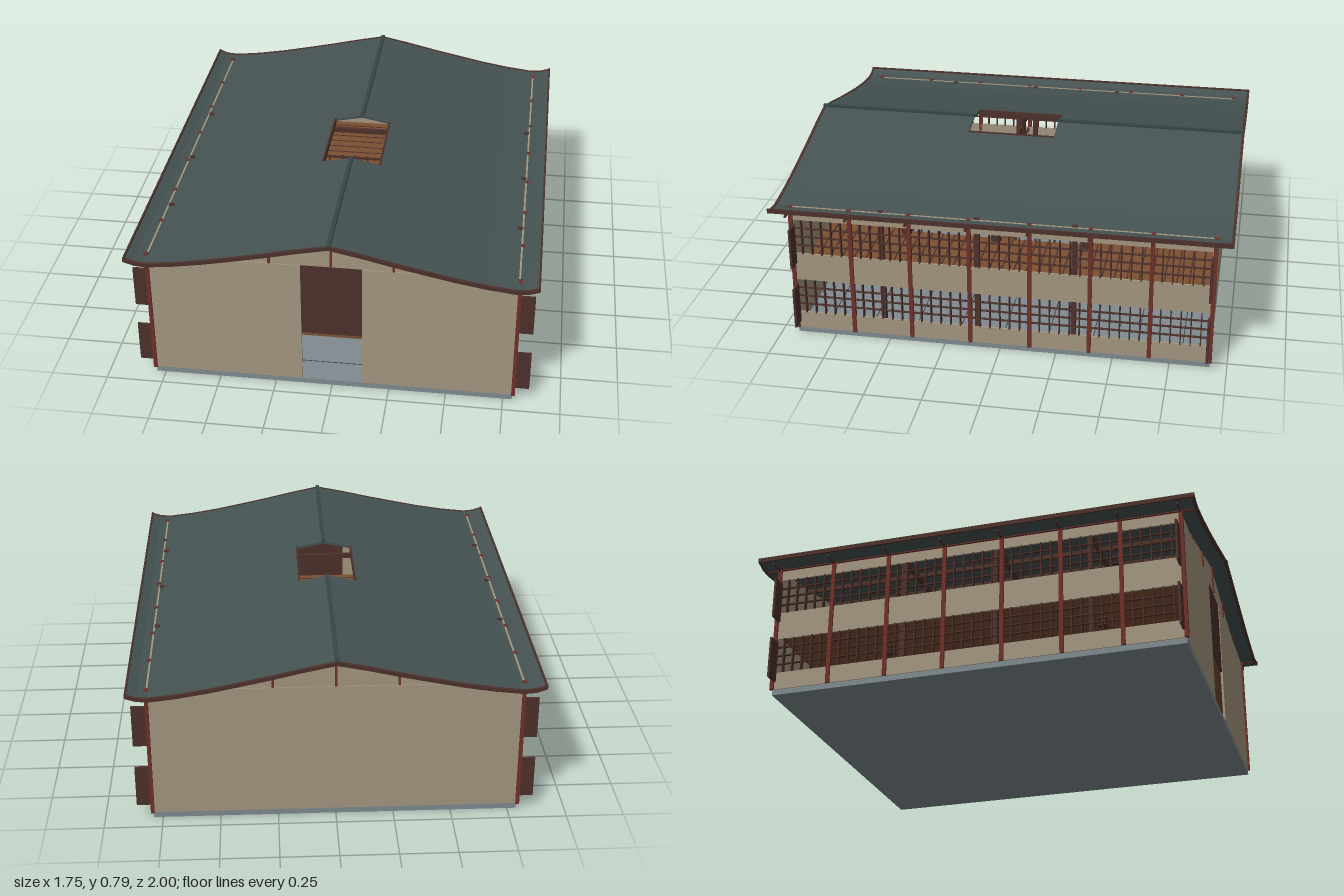
import * as THREE from 'three';
import { mergeGeometries } from 'three/addons/utils/BufferGeometryUtils.js';

const mat = (name, color, side = THREE.FrontSide) => {
  const m = new THREE.MeshStandardMaterial({ color, side });
  m.name = name;
  return m;
};

export function createModel() {
  const model = new THREE.Group();
  model.name = 'timberHall';
  const plaster = mat('plaster', 0xa3967f);
  const roofTile = mat('roofTile', 0x455352);
  const ridgeTile = mat('ridgeTile', 0x364646);
  const darkWood = mat('darkWood', 0x4d312b);
  const redWood = mat('redWood', 0x6f3029);
  const plankWood = mat('plankWood', 0x7d5033);
  const stone = mat('stone', 0x7f8a90);

  // Box geometry given by its limits on each axis
  const boxGeo = (x0, x1, y0, y1, z0, z1) =>
    new THREE.BoxGeometry(x1 - x0, y1 - y0, z1 - z0)
      .translate((x0 + x1) / 2, (y0 + y1) / 2, (z0 + z1) / 2);
  const add = (name, geos, material) => {
    const mesh = new THREE.Mesh(Array.isArray(geos) ? mergeGeometries(geos) : geos, material);
    mesh.name = name;
    model.add(mesh);
    return mesh;
  };
  const box = (name, m, ...limits) => add(name, boxGeo(...limits), m);

  // Roof top line, from ridge to upturned eave
  const profile = [[0, 0.777], [0.13, 0.75], [0.27, 0.717], [0.4, 0.689], [0.53, 0.662],
    [0.66, 0.64], [0.78, 0.626], [0.83, 0.63], [0.875, 0.645]];
  const roofY = x => {
    const a = Math.abs(x);
    const i = Math.max(1, profile.findIndex(p => p[0] >= a));
    const [p, q] = [profile[i - 1], profile[i]];
    return p[1] + (q[1] - p[1]) * (a - p[0]) / (q[0] - p[0]);
  };
  // Strip of roof following the profile, extruded along z
  const roofStrip = (side, from, to, thick, z0, z1, lift = 0) => {
    const pts = profile.slice(from, to + 1);
    const outline = [...pts.map(p => [p[0], p[1] + lift]),
      ...pts.map(p => [p[0], p[1] + lift - thick]).reverse()];
    const shape = new THREE.Shape(outline.map(p => new THREE.Vector2(side * p[0], p[1])));
    return new THREE.ExtrudeGeometry(shape, { depth: z1 - z0, bevelEnabled: false }).translate(0, 0, z0);
  };

  // Base slab
  box('slab', stone, -0.79, 0.79, 0, 0.025, -0.925, 0.925);

  // Roof with a square opening at the ridge
  const holeBack = -0.135, holeFront = 0.265;
  const tiles = [], verge = [];
  for (const s of [-1, 1]) {
    tiles.push(roofStrip(s, 1, 8, 0.012, -0.99, 0.99));
    tiles.push(roofStrip(s, 0, 1, 0.012, -0.99, holeBack), roofStrip(s, 0, 1, 0.012, holeFront, 0.99));
    verge.push(roofStrip(s, 0, 8, 0.017, 0.988, 1, 0.002), roofStrip(s, 0, 8, 0.017, -1, -0.988, 0.002));
    box('eaveBoard', darkWood, s * 0.873 - 0.004, s * 0.873 + 0.004, 0.63, 0.65, -1, 1);
    box('openingTrim', darkWood, s * 0.13 - 0.004, s * 0.13 + 0.004, 0.725, 0.754, holeBack, holeFront);
  }
  add('roof', tiles, roofTile);
  add('vergeBoards', verge, darkWood);
  box('ridgeFront', ridgeTile, -0.009, 0.009, 0.765, 0.787, holeFront, 1);
  box('ridgeBack', ridgeTile, -0.009, 0.009, 0.765, 0.787, -1, holeBack);

  // Gables, end walls and gable struts
  const gableShape = new THREE.Shape();
  gableShape.moveTo(-0.78, 0.612);
  for (let i = 7; i-- > 0;) gableShape.lineTo(-profile[i][0], profile[i][1] - 0.008);
  for (let i = 1; i < 7; i++) gableShape.lineTo(profile[i][0], profile[i][1] - 0.008);
  gableShape.lineTo(0.78, 0.612);
  const gable = new THREE.ExtrudeGeometry(gableShape, { depth: 0.008, bevelEnabled: false });
  for (const s of [-1, 1]) {
    add('gable', gable.clone().translate(0, 0, s * 0.916 - 0.004), plaster);
    for (const x of [-0.53, -0.265, 0, 0.265, 0.53])
      box('gableStrut', redWood, x - 0.005, x + 0.005, 0.627, roofY(x) - 0.006,
        Math.min(s * 0.91, s * 0.928), Math.max(s * 0.91, s * 0.928));
    box('frontWall', plaster, Math.min(s * 0.132, s * 0.79), Math.max(s * 0.132, s * 0.79), 0.025, 0.625, 0.915, 0.925);
  }
  box('backWall', plaster, -0.79, 0.79, 0.025, 0.625, -0.925, -0.915);
  box('doorPanel', darkWood, -0.132, 0.132, 0.275, 0.625, 0.914, 0.922);

  // Side walls: plaster bands, posts, lattices and corner shutters
  const postZ = Array.from({ length: 8 }, (_, i) => -0.925 + i * 1.85 / 7);
  const windows = [[0.105, 0.27], [0.4, 0.565]];
  for (const s of [-1, 1]) {
    const x = s * 0.79;
    for (const [y0, y1] of [[0.025, 0.105], [0.27, 0.4], [0.565, 0.629]])
      box('wallBand', plaster, x - 0.004, x + 0.004, y0, y1, -0.92, 0.92);
    add('posts', postZ.map(z => boxGeo(x - 0.008 + s * 0.004, x + 0.008 + s * 0.004, 0.025, 0.633, z - 0.009, z + 0.009)), redWood);
    box('eaveBeam', redWood, s * 0.8 - 0.005, s * 0.8 + 0.005, 0.612, 0.622, -0.985, 0.985);
    add('rafterEnds', postZ.map(z => boxGeo(s * 0.83 - 0.04, s * 0.83 + 0.04, 0.61, 0.62, z - 0.004, z + 0.004)), darkWood);
    const bars = [];
    for (const [y0, y1] of windows) {
      for (let i = 0; i < 7; i++)
        for (let k = 1; k < 6; k++) {
          const z = postZ[i] + k * 0.2643 / 6;
          bars.push(boxGeo(x - 0.01, x + 0.01, y0, y1, z - 0.0025, z + 0.0025));
        }
      for (let k = 1; k < 4; k++) {
        const y = y0 + (y1 - y0) * k / 4;
        bars.push(boxGeo(x - 0.006, x + 0.006, y - 0.002, y + 0.002, -0.92, 0.92));
      }
      for (const z of [-0.914, 0.914])
        box('shutter', darkWood, Math.min(s * 0.795, s * 0.862), Math.max(s * 0.795, s * 0.862),
          y0 - 0.045, y1 - 0.02, z - 0.005, z + 0.005);
    }
    add('lattice', bars, darkWood);
  }

  // Interior columns, wall piers, tie beams and purlins
  const colZ = [-0.325, 0.1, 0.525];
  for (const z of colZ) {
    for (const s of [-1, 1]) {
      box('wallPier', darkWood, s * 0.778 - 0.012, s * 0.778 + 0.012, 0.025, 0.631, z - 0.011, z + 0.011);
      add('column', new THREE.CylinderGeometry(0.024, 0.024, 0.62, 8).translate(s * 0.34, 0.335, z), darkWood);
    }
    box('tieBeam', darkWood, -0.78, 0.78, 0.575, 0.598, z - 0.008, z + 0.008);
  }
  add('centreColumn', new THREE.CylinderGeometry(0.034, 0.034, 0.57, 8).translate(0, 0.31, 0.1), plankWood);
  box('crossBeam', darkWood, -0.34, 0.34, 0.577, 0.587, 0.062, 0.068);
  for (const x of [-0.53, -0.27, 0.27, 0.53])
    box('purlin', darkWood, x - 0.007, x + 0.007, roofY(x) - 0.03, roofY(x) - 0.011, -0.91, 0.91);

  // Gallery floor around an open well, with board joints
  const well = { x: 0.32, z0: -0.35, z1: 0.55 };
  const floors = [[-0.78, 0.78, -0.91, well.z0], [-0.78, 0.78, well.z1, 0.91],
    [-0.78, -well.x, well.z0, well.z1], [well.x, 0.78, well.z0, well.z1]];
  const joints = [];
  for (const [x0, x1, z0, z1] of floors) {
    box('galleryFloor', plankWood, x0, x1, 0.285, 0.305, z0, z1);
    for (let z = z0 + 0.04; z < z1; z += 0.055) joints.push(boxGeo(x0, x1, 0.304, 0.307, z, z + 0.006));
  }
  add('boardJoints', joints, darkWood);

  // Gallery railing
  const rail = [];
  for (const y of [0.355, 0.415]) {
    for (const s of [-1, 1])
      rail.push(boxGeo(s * well.x - 0.005, s * well.x + 0.005, y - 0.005, y + 0.005, well.z0, well.z1));
    for (const z of [well.z0, well.z1]) rail.push(boxGeo(-well.x, well.x, y - 0.005, y + 0.005, z - 0.005, z + 0.005));
  }
  for (let i = 0; i <= 10; i++) {
    const z = well.z0 + i * 0.09, x = -well.x + i * 0.064;
    for (const s of [-1, 1]) rail.push(boxGeo(s * well.x - 0.004, s * well.x + 0.004, 0.305, 0.425, z - 0.004, z + 0.004));
    for (const e of [well.z0, well.z1]) rail.push(boxGeo(x - 0.004, x + 0.004, 0.305, 0.425, e - 0.004, e + 0.004));
  }
  add('galleryRail', rail, darkWood);

  // Red counter and stair at the back
  box('counter', redWood, -0.3, 0, 0.025, 0.155, -0.85, -0.45);
  box('counterTop', darkWood, -0.31, 0.01, 0.155, 0.167, -0.86, -0.43);
  box('counterBand', darkWood, -0.3, 0, 0.085, 0.092, -0.452, -0.447);
  const treads = Array.from({ length: 10 }, (_, i) =>
    boxGeo(0.03, 0.28, 0.035 + i * 0.026, 0.05 + i * 0.026, -0.45 - i * 0.042, -0.4 - i * 0.042));
  add('stairTreads', treads, plankWood);
  for (const x of [0.025, 0.285])
    for (const dir of [1, -1]) {
      const beam = add('stairString', new THREE.BoxGeometry(0.01, 0.014, 0.45), darkWood);
      beam.position.set(x, 0.16, -0.63);
      beam.rotation.x = dir * 0.52;
    }

  // Hanging lanterns: two caps and slim posts
  for (const [x, y, z] of [[0.6, 0.53, 0.6], [0.6, 0.53, -0.4], [0.6, 0.24, 0.53], [0.6, 0.24, -0.46]])
    for (const s of [-1, 1])
      add('lantern', [boxGeo(s * x - 0.02, s * x + 0.02, y + 0.013, y + 0.019, z - 0.02, z + 0.02),
        boxGeo(s * x - 0.02, s * x + 0.02, y - 0.019, y - 0.013, z - 0.02, z + 0.02),
        boxGeo(s * x - 0.01, s * x + 0.01, y - 0.013, y + 0.013, z - 0.01, z - 0.005),
        boxGeo(s * x - 0.01, s * x + 0.01, y - 0.013, y + 0.013, z + 0.005, z + 0.01)], darkWood);

  // Paving joints on the slab
  const paving = [];
  for (let z = -0.8; z < 0.9; z += 0.2) paving.push(boxGeo(-0.78, 0.78, 0.024, 0.026, z - 0.002, z + 0.002));
  add('pavingJoints', paving, ridgeTile);
  box('bench', plankWood, -0.3, 0.13, 0.06, 0.08, 0.62, 0.66);

  return model;
}
